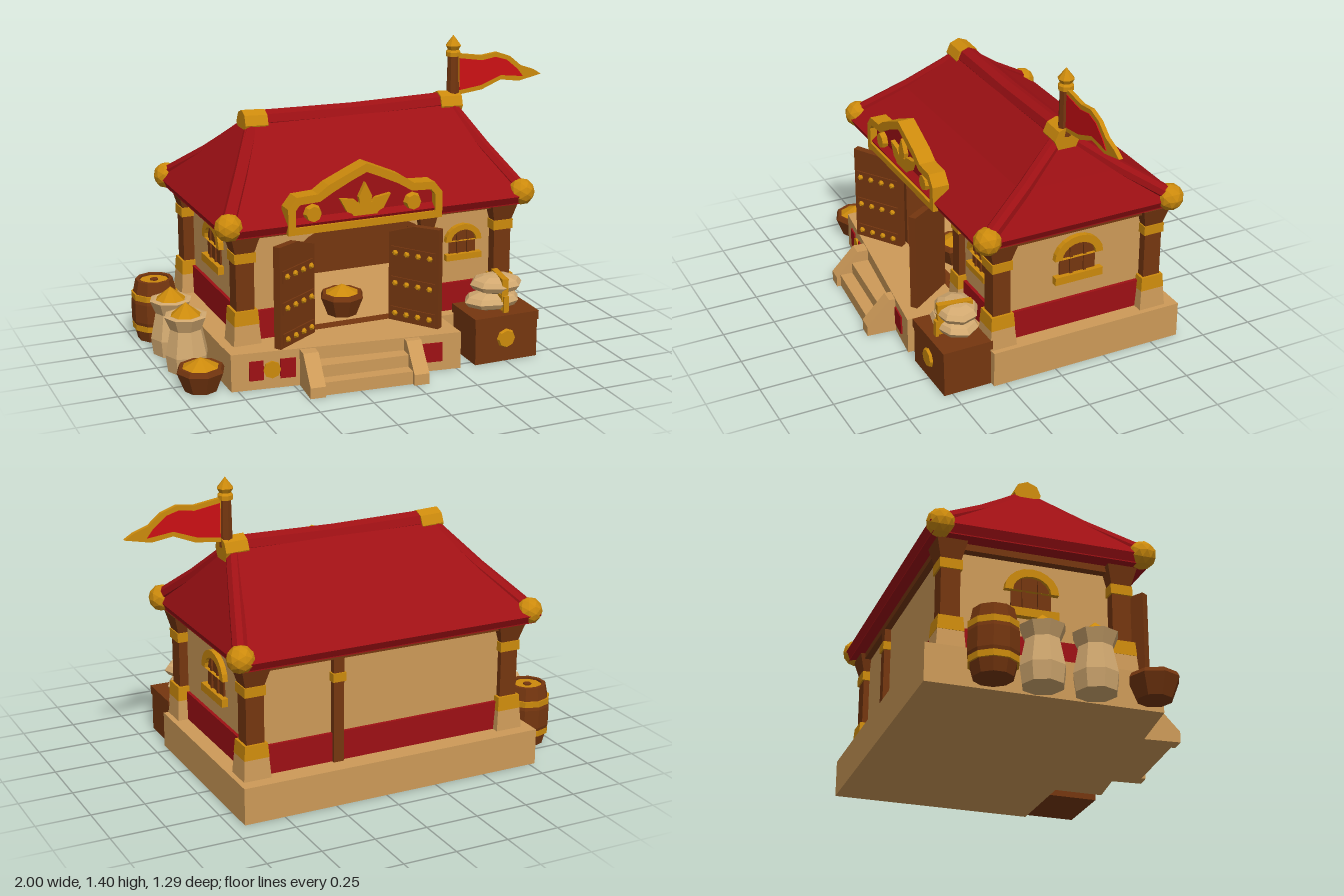
import * as THREE from 'three';

const mat = (name, color) => {
  const m = new THREE.MeshStandardMaterial({ color, flatShading: true });
  m.name = name;
  return m;
};

export function createModel() {
  const root = new THREE.Group();
  root.name = 'shopHouse';
  const red = mat('roofRed', 0x9e1014), flagRed = mat('flagRed', 0xcc1014);
  const gold = mat('gold', 0xcc8a0c), brown = mat('woodBrown', 0x75360f);
  const tan = mat('plasterTan', 0xcd9a58), cloth = mat('sackCloth', 0xd2a970);

  // helpers
  const add = (name, geo, m, p = [0, 0, 0], r = [0, 0, 0], parent = root) => {
    const mesh = new THREE.Mesh(geo, m);
    mesh.name = name;
    mesh.position.set(...p);
    mesh.rotation.set(...r);
    parent.add(mesh);
    return mesh;
  };
  const group = (name, p = [0, 0, 0], ry = 0, parent = root) => {
    const g = new THREE.Group();
    g.name = name;
    g.position.set(...p);
    g.rotation.y = ry;
    parent.add(g);
    return g;
  };
  // box given by its limits
  const box = (name, m, x0, x1, y0, y1, z0, z1, parent = root) =>
    add(name, new THREE.BoxGeometry(x1 - x0, y1 - y0, z1 - z0), m,
      [(x0 + x1) / 2, (y0 + y1) / 2, (z0 + z1) / 2], [0, 0, 0], parent);
  const poly = (pts) => new THREE.Shape(pts.map(([x, y]) => new THREE.Vector2(x, y)));
  const extrude = (shape, depth) =>
    new THREE.ExtrudeGeometry(shape, { depth, bevelEnabled: false, curveSegments: 8 });
  // square post section tapering from width a (bottom) to b (top)
  const taper = (a, b, h) =>
    new THREE.CylinderGeometry(b / Math.SQRT2, a / Math.SQRT2, h, 4).rotateY(Math.PI / 4);
  const lathe = (pts, n) => new THREE.LatheGeometry(pts.map(([x, y]) => new THREE.Vector2(x, y)), n);
  const arch = (w, y0, y1, rise, path = new THREE.Shape()) => {
    path.moveTo(-w, y0);
    path.lineTo(w, y0);
    path.lineTo(w, y1);
    for (let i = 1; i <= 10; i++) {
      const a = Math.PI * i / 10;
      path.lineTo(w * Math.cos(a), y1 + rise * Math.sin(a));
    }
    path.closePath();
    return path;
  };
  const rod = (name, m, a, b, r) => {
    const A = new THREE.Vector3(...a), B = new THREE.Vector3(...b), d = B.clone().sub(A);
    const mesh = add(name, new THREE.CylinderGeometry(r, r, d.length(), 8), m, A.clone().add(B).multiplyScalar(0.5).toArray());
    mesh.quaternion.setFromUnitVectors(new THREE.Vector3(0, 1, 0), d.normalize());
  };

  // stone base and slanted porch
  box('base', tan, -0.78, 0.69, 0, 0.17, -0.64, 0.31);
  add('porch', extrude(poly([[-0.78, -0.3], [-0.78, -0.4], [0.27, -0.54], [0.27, -0.3]].reverse()), 0.174)
    .rotateX(-Math.PI / 2), tan);
  const front = group('porchPanels', [-0.78, 0, 0.4], -Math.atan2(0.14, 1.05));
  for (const [x0, x1] of [[0.08, 0.145], [0.22, 0.29], [0.87, 0.97]])
    box('redPanel', red, x0, x1, 0.045, 0.135, -0.01, 0.007, front);
  add('panelMedallion', new THREE.CylinderGeometry(0.04, 0.04, 0.02, 8), gold, [0.183, 0.09, 0], [Math.PI / 2, 0, 0], front);

  // steps with sloping cheeks
  const steps = group('steps', [-0.2, 0, 0.47], -0.085);
  box('lowerStep', tan, -0.21, 0.21, 0, 0.06, -0.05, 0.14, steps);
  box('upperStep', tan, -0.21, 0.21, 0, 0.115, -0.05, 0.08, steps);
  for (const x of [-0.275, 0.205])
    add('stepCheek', extrude(poly([[-0.16, 0], [0.06, 0], [0.06, 0.17], [-0.05, 0.17], [-0.16, 0.05]]), 0.07)
      .rotateY(Math.PI / 2), tan, [x, 0, 0], [0, 0, 0], steps);

  // walls with arched doorway
  const facade = poly([[-0.66, 0.17], [0.6, 0.17], [0.6, 0.68], [-0.66, 0.68]]);
  const doorway = arch(0.29, 0.172, 0.52, 0.145, new THREE.Path());
  facade.holes.push(new THREE.Path(doorway.getPoints().map((p) => p.add(new THREE.Vector2(-0.09, 0)))));
  add('frontWall', extrude(facade, 0.04), tan, [0, 0, 0.2]);
  box('backWall', tan, -0.66, 0.6, 0.17, 0.68, -0.53, -0.49);
  box('leftSideWall', tan, 0.56, 0.6, 0.17, 0.68, -0.53, 0.24);
  box('rightSideWall', tan, -0.66, -0.62, 0.17, 0.68, -0.53, 0.24);
  box('backLining', brown, -0.62, 0.56, 0.17, 0.68, -0.49, -0.482);
  box('leftLining', brown, 0.552, 0.56, 0.17, 0.68, -0.49, 0.2);
  box('rightLining', brown, -0.62, -0.612, 0.17, 0.68, -0.49, 0.2);
  const frame = arch(0.325, 0.172, 0.52, 0.158);
  frame.holes.push(arch(0.285, 0.173, 0.52, 0.14, new THREE.Path()));
  add('doorFrame', extrude(frame, 0.06), brown, [-0.09, 0, 0.19]);

  // red wainscot
  box('backWainscot', red, -0.665, 0.605, 0.17, 0.305, -0.545, -0.53);
  box('leftWainscot', red, 0.6, 0.615, 0.17, 0.305, -0.53, 0.24);
  box('rightWainscot', red, -0.675, -0.66, 0.17, 0.305, -0.53, 0.24);
  box('frontWainscotLeft', red, 0.24, 0.6, 0.17, 0.305, 0.24, 0.255);
  box('frontWainscotRight', red, -0.66, -0.42, 0.17, 0.305, 0.24, 0.255);

  // posts
  const post = (x, z, s) => {
    const g = group('post', [x, 0, z]);
    for (const [n, m, a, b, y0, y1] of [['postFoot', tan, 0.13, 0.115, 0.17, 0.265],
      ['postFootCap', gold, 0.118, 0.108, 0.265, 0.33], ['postShaft', brown, 0.085, 0.085, 0.33, 0.55],
      ['postBand', gold, 0.1, 0.1, 0.55, 0.595], ['postCapital', brown, 0.09, 0.135, 0.595, 0.68]])
      add(n, taper(a * s, b * s, y1 - y0), m, [0, (y0 + y1) / 2, 0], [0, 0, 0], g);
  };
  for (const x of [-0.67, 0.6]) for (const z of [-0.515, 0.25]) post(x, z, 1);
  post(0.225, 0.24, 0.75);
  box('backPost', brown, 0.175, 0.225, 0.17, 0.68, -0.56, -0.52);
  box('backPostBand', gold, 0.168, 0.232, 0.55, 0.59, -0.567, -0.515);

  // windows, built facing +z
  const windowAt = (p, ry, s) => {
    const g = group('window', p, ry);
    g.scale.set(s, s, 1);
    add('windowPane', extrude(arch(0.09, -0.09, 0.01, 0.08), 0.008), brown, [0, 0, 0], [0, 0, 0], g);
    const rim = arch(0.122, 0.01, 0.011, 0.105);
    rim.holes.push(arch(0.085, 0.0101, 0.0105, 0.07, new THREE.Path()));
    add('windowHood', extrude(rim, 0.025), gold, [0, 0, 0], [0, 0, 0], g);
    box('windowSill', gold, -0.12, 0.12, -0.11, -0.072, 0, 0.03, g);
    for (const x of [-0.035, 0.035]) box('windowBar', brown, x - 0.007, x + 0.007, -0.08, 0.07, 0.005, 0.016, g);
  };
  windowAt([0.6, 0.505, -0.145], Math.PI / 2, 1);
  windowAt([-0.66, 0.505, -0.145], -Math.PI / 2, 1);
  windowAt([0.415, 0.5, 0.24], 0, 0.75);

  // open doors with gold studs
  const door = (name, p, ry, yl, yr) => {
    const g = group(name, p, ry), w = 0.26;
    add('doorLeaf', extrude(poly([[0, 0.18], [w, 0.18], [w, yr], [w / 2, (yl + yr) / 2 + 0.02], [0, yl]]), 0.035), brown, [0, 0, 0], [0, 0, 0], g);
    for (const y of [0.22, 0.365, 0.51]) {
      box('doorStrap', brown, 0.015, w - 0.015, y - 0.028, y + 0.028, 0.03, 0.042, g);
      for (const x of [0.04, 0.1, 0.16, 0.22])
        add('doorStud', new THREE.IcosahedronGeometry(0.015, 0), gold, [x, y, 0.045], [0, 0, 0], g);
    }
  };
  door('rightDoor', [-0.58, 0, 0.41], 0.58, 0.65, 0.6);
  door('leftDoor', [0.06, 0, 0.25], -0.96, 0.6, 0.65);

  // roof: rectangles stacked from eave to ridge
  const levels = [[0.69, -0.77, 0.67, -0.61, 0.365], [0.725, -0.79, 0.69, -0.63, 0.385],
    [0.9, -0.655, 0.61, -0.38, 0.14], [1.1, -0.5, 0.52, -0.13, -0.09]];
  const ring = ([y, x0, x1, z0, z1]) => [[x0, y, z1], [x1, y, z1], [x1, y, z0], [x0, y, z0]];
  const v = [];
  for (let i = 0; i < 3; i++) {
    const a = ring(levels[i]), b = ring(levels[i + 1]);
    for (let k = 0; k < 4; k++) {
      const n = (k + 1) % 4;
      v.push(...a[k], ...a[n], ...b[n], ...a[k], ...b[n], ...b[k]);
    }
  }
  const roofGeo = new THREE.BufferGeometry();
  roofGeo.setAttribute('position', new THREE.Float32BufferAttribute(v, 3));
  roofGeo.computeVertexNormals();
  add('roof', roofGeo, red);
  box('roofSoffit', red, -0.77, 0.67, 0.685, 0.695, -0.61, 0.365);
  box('eaveBeam', brown, -0.7, 0.64, 0.655, 0.69, -0.56, 0.29);
  for (const [s, x, cx] of [[-1, -0.48, -0.755], [1, 0.5, 0.67]]) {
    for (const z of [-0.575, 0.335]) {
      rod('hipRidge', red, [x, 1.075, -0.11], [(x + cx) / 2, 0.9, (z - 0.11) / 2], 0.035);
      rod('hipRidge', red, [(x + cx) / 2, 0.9, (z - 0.11) / 2], [cx, 0.745, z], 0.035);
      add('cornerKnob', new THREE.IcosahedronGeometry(0.063, 1), gold, [cx, 0.735, z]);
    }
    rod('ridgeCap', gold, [x - 0.055, 1.075, -0.11], [x + 0.055, 1.07, -0.11], 0.062);
    rod('ridge', red, [x, 1.08, -0.11], [0.01, 1.072, -0.11], 0.05);
  }

  // ornamental gable above the doorway
  const outer = poly([[-0.5, 0.68], [0.24, 0.68], [0.24, 0.8], [0.2, 0.85], [0.1, 0.855], [0.04, 0.895],
    [-0.05, 0.935], [-0.13, 0.97], [-0.21, 0.935], [-0.31, 0.89], [-0.36, 0.855], [-0.46, 0.85], [-0.5, 0.8]]);
  const inner = [[-0.465, 0.712], [0.205, 0.712], [0.205, 0.79], [0.185, 0.815], [0.09, 0.82], [0.025, 0.86],
    [-0.06, 0.9], [-0.13, 0.93], [-0.2, 0.9], [-0.29, 0.855], [-0.35, 0.82], [-0.445, 0.815], [-0.465, 0.79]];
  outer.holes.push(poly(inner));
  add('gableFrame', extrude(outer, 0.08), gold, [0, 0, 0.31]);
  add('gablePanel', extrude(poly(inner), 0.04), red, [0, 0, 0.315]);
  const leaf = poly([[0, 0], [0.035, 0.04], [0.027, 0.06], [0.032, 0.085], [0, 0.15], [-0.032, 0.085], [-0.027, 0.06], [-0.035, 0.04]]);
  for (const a of [-0.95, 0, 0.95])
    add('gableLeaf', extrude(leaf, 0.025), gold, [-0.13, 0.73, 0.352], [0, 0, a]);
  for (const x of [-0.375, 0.105])
    add('gableRosette', new THREE.CylinderGeometry(0.035, 0.045, 0.03, 8), gold, [x, 0.762, 0.365], [Math.PI / 2, 0, 0]);

  // flag
  add('flagPole', new THREE.CylinderGeometry(0.027, 0.032, 0.23, 8), brown, [0.53, 1.2, -0.11]);
  add('flagFinial', lathe([[0, 0], [0.036, 0], [0.036, 0.02], [0.026, 0.03], [0.038, 0.05], [0, 0.1]], 8), gold, [0.53, 1.3, -0.11]);
  add('flagBorder', extrude(poly([[0.55, 1.11], [0.68, 1.125], [0.78, 1.165], [0.88, 1.15], [1, 1.175], [0.96, 1.2],
    [0.89, 1.225], [0.83, 1.275], [0.76, 1.3], [0.68, 1.29], [0.55, 1.31]]), 0.02), gold, [0, 0, -0.12]);
  add('flagCloth', extrude(poly([[0.56, 1.133], [0.67, 1.147], [0.78, 1.187], [0.9, 1.172], [0.87, 1.21],
    [0.81, 1.26], [0.75, 1.278], [0.68, 1.267], [0.56, 1.287]]), 0.028), flagRed, [0, 0, -0.124]);

  // crate with two tied sacks
  box('crate', brown, 0.345, 0.66, 0, 0.215, 0.31, 0.54);
  box('crateLid', brown, 0.34, 0.665, 0.18, 0.222, 0.305, 0.545);
  add('crateEmblem', new THREE.CylinderGeometry(0.04, 0.048, 0.016, 8), gold, [0.5, 0.11, 0.545], [Math.PI / 2, 0, 0]);
  for (const [x, y, w, ry] of [[0.49, 0.26, 0.14, 0.05], [0.51, 0.335, 0.125, -0.15]]) {
    const sack = group('lyingSack', [x, y, 0.41], ry);
    add('sackBody', new THREE.SphereGeometry(1, 8, 6).scale(w, 0.045, 0.1), cloth, [0, 0, 0], [0, 0, 0], sack);
    box('sackStrap', gold, 0.0, 0.03, -0.03, 0.045, -0.07, 0.092, sack);
  }
  box('hangingTie', gold, 0.5, 0.525, 0.22, 0.3, 0.5, 0.515);

  // bowls heaped with gold
  const bowl = (x, y, z, s) => {
    const g = group('bowl', [x, y, z]);
    add('bowlBody', lathe([[0, 0], [0.075 * s, 0], [0.11 * s, 0.09 * s], [0.1 * s, 0.11 * s], [0, 0.1 * s]], 8), brown, [0, 0, 0], [0, 0, 0], g);
    add('bowlHeap', new THREE.ConeGeometry(0.1 * s, 0.05 * s, 8), gold, [0, 0.125 * s, 0], [0, 0, 0], g);
  };
  bowl(-0.89, 0, 0.31, 1);
  bowl(-0.13, 0.175, 0.1, 0.95);

  // open sacks with gold
  for (const z of [-0.17, 0.06]) {
    const g = group('standingSack', [-0.875, 0, z]);
    add('sackBody', lathe([[0, 0], [0.09, 0], [0.1, 0.08], [0.075, 0.2], [0.1, 0.26], [0.08, 0.265], [0, 0.24]], 8), cloth, [0, 0, 0], [0, 0, 0], g);
    add('sackHeap', new THREE.ConeGeometry(0.085, 0.07, 8), gold, [0, 0.285, 0], [0, 0, 0], g);
  }

  // barrel
  const barrel = group('barrel', [-0.89, 0, -0.385]);
  add('barrelBody', lathe([[0, 0], [0.085, 0], [0.11, 0.1], [0.11, 0.19], [0.088, 0.295], [0.07, 0.295], [0.07, 0.275], [0, 0.275]], 10), brown, [0, 0, 0], [0, 0, 0], barrel);
  for (const [y, r] of [[0.07, 0.108], [0.22, 0.109]])
    add('barrelHoop', new THREE.CylinderGeometry(r, r, 0.028, 10), gold, [0, y, 0], [0, 0, 0], barrel);
  add('barrelFill', new THREE.CylinderGeometry(0.069, 0.069, 0.008, 10), gold, [0, 0.282, 0], [0, 0, 0], barrel);
  add('barrelBung', new THREE.CylinderGeometry(0.02, 0.02, 0.01, 6), brown, [0, 0.287, 0], [0, 0, 0], barrel);

  return root;
}
